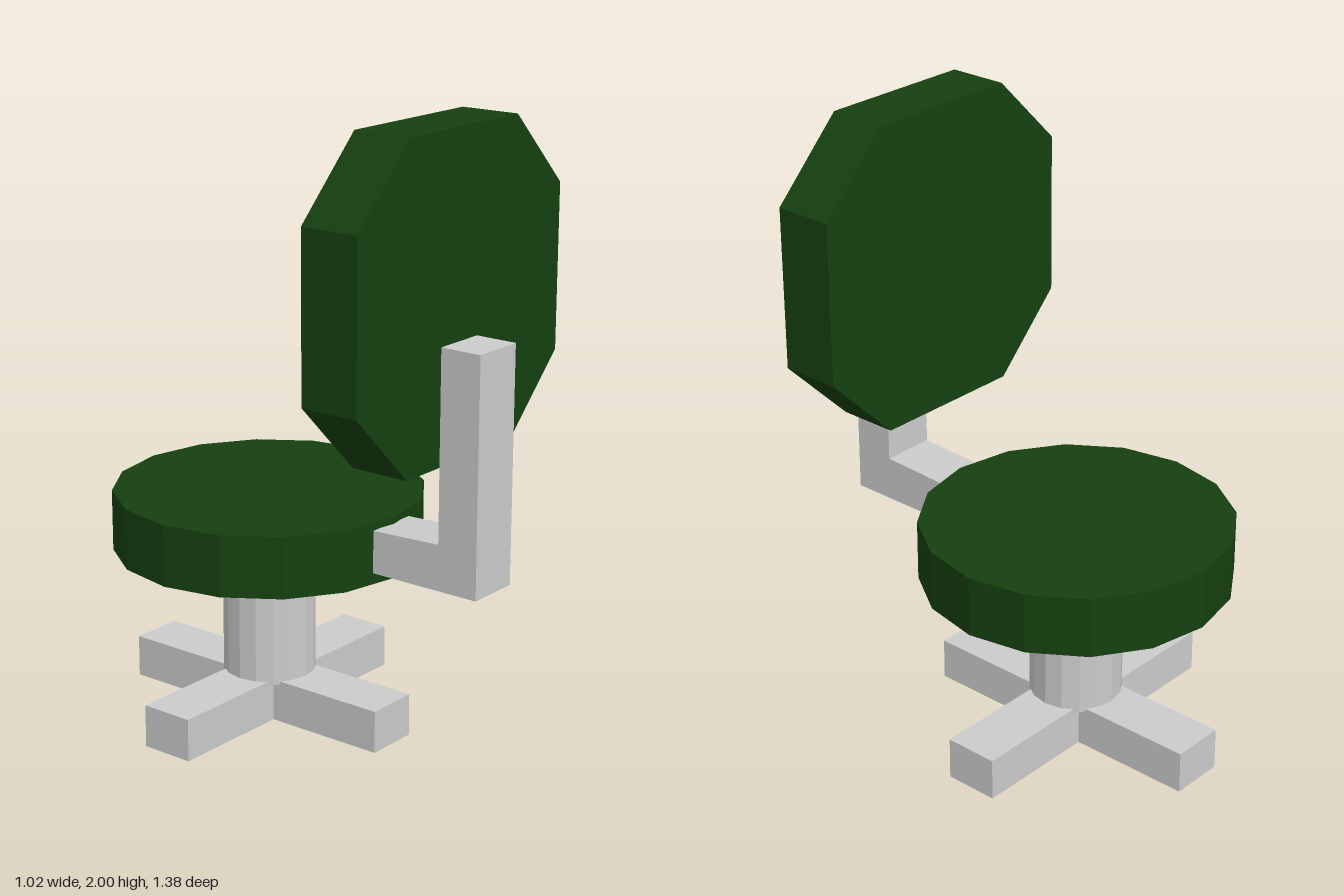
import * as THREE from 'three';

const grey = new THREE.MeshStandardMaterial({ color: 0xcccccc, flatShading: true });
const green = new THREE.MeshStandardMaterial({ color: 0x154010, flatShading: true });

// Extrude an outline given as [x, y] corners, from 0 to depth
function extrude(points, depth) {
  const shape = new THREE.Shape(points.map(([x, y]) => new THREE.Vector2(x, y)));
  return new THREE.ExtrudeGeometry(shape, { depth, bevelEnabled: false });
}

export function createModel() {
  const group = new THREE.Group();
  const axisX = -0.008, axisZ = -0.188;

  function add(name, geometry, material, x, y, z) {
    const mesh = new THREE.Mesh(geometry, material);
    mesh.name = name;
    mesh.position.set(x, y, z);
    group.add(mesh);
    return mesh;
  }

  // Cross-shaped foot: one arm outline turned four times
  const half = 0.09, reach = 0.504;
  const cross = [];
  for (let i = 0; i < 4; i++) {
    const c = Math.round(Math.cos(i * Math.PI / 2)), s = Math.round(Math.sin(i * Math.PI / 2));
    for (const [x, y] of [[reach, -half], [reach, half], [half, half]]) {
      cross.push([x * c - y * s, x * s + y * c]);
    }
  }
  const base = extrude(cross, 0.14);
  base.rotateX(-Math.PI / 2);
  add('crossBase', base, grey, axisX, 0, axisZ);

  // Central post and round seat
  add('post', new THREE.CylinderGeometry(0.151, 0.151, 0.45, 16), grey, axisX, 0.355, axisZ);
  add('seat', new THREE.CylinderGeometry(0.503, 0.503, 0.2, 16), green, axisX, 0.66, axisZ);

  // L-shaped bracket, drawn in profile (z, y) and extruded across x
  const bracket = extrude([
    [0.305, 0.6], [0.69, 0.6], [0.69, 1.36], [0.55, 1.36], [0.55, 0.748], [0.305, 0.738],
  ], 0.18);
  bracket.rotateY(-Math.PI / 2);
  add('backrestBracket', bracket, grey, 0.082, 0, 0);

  // Eight-sided backrest
  const r = 0.505, k = 0.265;
  const backrest = extrude([
    [r, -k], [r, k], [k, r], [-k, r], [-r, k], [-r, -k], [-k, -r], [k, -r],
  ], 0.2);
  add('backrest', backrest, green, 0.005, 1.495, 0.35);

  return group;
}
